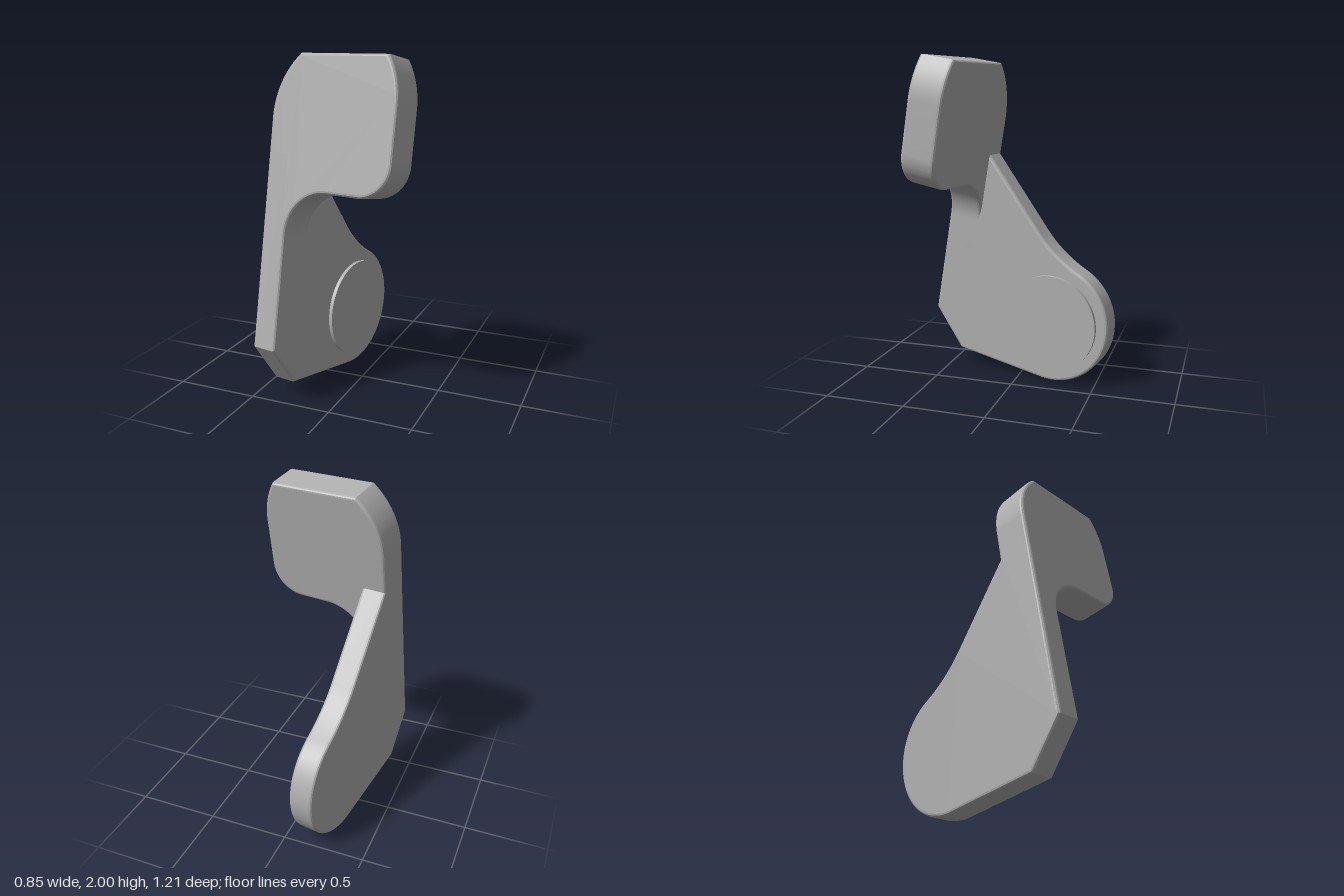
import * as THREE from 'three';
import { toCreasedNormals } from 'three/addons/utils/BufferGeometryUtils.js';

const BEVEL = 0.018;
const TILT = THREE.MathUtils.degToRad(10);

// Plate of the given thickness with softly rounded edges, z from 0 to thickness
function plate(shape, thickness) {
  const g = new THREE.ExtrudeGeometry(shape, {
    depth: thickness - 2 * BEVEL, curveSegments: 32,
    bevelEnabled: true, bevelThickness: BEVEL, bevelSize: BEVEL, bevelOffset: -BEVEL, bevelSegments: 3,
  });
  g.translate(0, 0, BEVEL);
  return g;
}

export function createModel() {
  const grey = new THREE.MeshStandardMaterial({ color: 0xb0b0b0 });
  grey.name = 'plain grey';

  const left = -0.322, inner = -0.17, right = 0.465;
  const front = 0.705, back = 0.48;
  const hubZ = -0.114, hubY = 0.404, hubR = 0.378;

  const bracket = new THREE.Group();
  bracket.name = 'bracket';
  const add = (name, geometry) => {
    const mesh = new THREE.Mesh(toCreasedNormals(geometry, 0.2), grey);
    mesh.name = name;
    bracket.add(mesh);
  };

  // Side plate: chamfered front corner, sloping rear edge, round hub (drawn in z, y)
  const side = new THREE.Shape();
  side.moveTo(front, 0.251);
  side.lineTo(front, 1.36);
  side.lineTo(0.5, 1.36);
  side.lineTo(0.06, 0.941);
  side.quadraticCurveTo(-0.066, 0.823, -0.24, 0.76);
  side.absarc(hubZ, hubY, hubR, THREE.MathUtils.degToRad(109.5), Math.PI * 1.5, false);
  side.lineTo(back, hubY - hubR);
  side.closePath();
  add('sidePlate', plate(side, inner - left).rotateY(-Math.PI / 2).translate(inner, 0, 0));

  // Front flange: narrow leg widening into a rounded tab (drawn in x, y)
  const top = 1.906, bottom = 1.165, bigR = 0.472, cornerR = 0.19, filletR = 0.257;
  const rise = 0.356, rightRise = 0.256;
  const flange = new THREE.Shape();
  flange.moveTo(left, 0.262);
  flange.lineTo(inner, 0.262);
  flange.lineTo(inner, bottom - filletR);
  flange.absarc(inner + filletR, bottom - filletR, filletR, Math.PI, Math.PI / 2, true);
  flange.lineTo(right - cornerR, bottom);
  flange.absarc(right - cornerR, bottom + cornerR, cornerR, -Math.PI / 2, 0, false);
  flange.lineTo(right, top - rightRise);
  flange.absarc(right - bigR, top - rightRise, bigR, 0, Math.asin(rightRise / bigR), false);
  flange.absarc(left + bigR, top - rise, bigR, Math.PI - Math.asin(rise / bigR), Math.PI, false);
  flange.closePath();
  add('frontFlange', plate(flange, front - back).translate(0, 0, back));

  // Low round boss on the inner face of the hub
  const boss = new THREE.CylinderGeometry(0.302, 0.302, 0.08, 96).rotateZ(-Math.PI / 2);
  add('hubBoss', boss.translate(-0.148 - 0.04, hubY, hubZ - 0.004));

  // The whole bracket is turned and leans back
  bracket.rotation.set(-TILT, -TILT, 0, 'YXZ');

  const model = new THREE.Group();
  model.name = 'angledBracket';
  model.add(bracket);
  return model;
}
